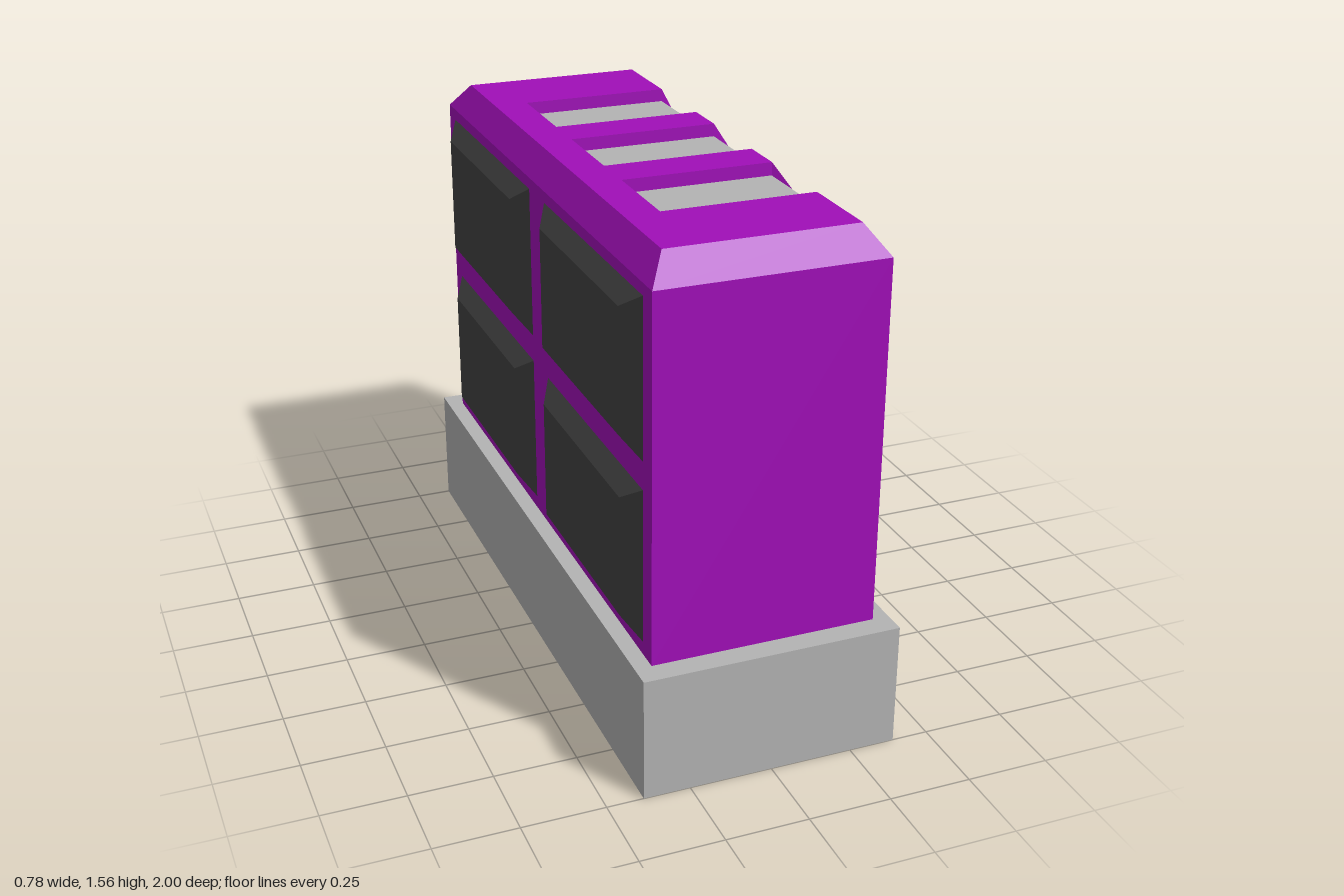
import * as THREE from 'three';

const paint = (name, color) => new THREE.MeshStandardMaterial({ name, color, side: THREE.DoubleSide });

// Body measures: half width, half length, shoulder and roof heights, roof half width, roof taper in z
const W = 0.34, L = 0.93, Y0 = 0.38, Y1 = 1.48, Y2 = 1.56, R = 0.285, TAPER = 0.919;
const SINK = 0.04, SLOT_X = -0.18, SLOT_Y = 0.975;
const SLOTS = [[-0.63, -0.31], [-0.155, 0.155], [0.31, 0.63]];

export function createModel() {
  const purple = paint('purple', 0xa00fb8);
  const grey = paint('grey', 0xb3b3b3);
  const dark = paint('charcoal', 0x424242);
  const model = new THREE.Group();

  function add(name, geometry, material) {
    const mesh = new THREE.Mesh(geometry, material);
    mesh.name = name;
    model.add(mesh);
    return mesh;
  }

  // Flat-shaded surface from four-cornered faces, counter-clockwise from outside
  function quads(faces) {
    const p = [];
    for (const [a, b, c, d] of faces) p.push(...a, ...b, ...c, ...a, ...c, ...d);
    const g = new THREE.BufferGeometry();
    g.setAttribute('position', new THREE.Float32BufferAttribute(p, 3));
    g.computeVertexNormals();
    return g;
  }

  // Point of a profile; roof points (off the side walls) draw in along z
  const at = ([x, y], z) => [x, y, Math.abs(x) < W ? z * TAPER : z];

  // Surface swept along z over a profile running up the +x side and over the roof
  const band = (profile, z0, z1) => profile.slice(1).map((q, i) =>
    [at(profile[i], z1), at(profile[i], z0), at(q, z0), at(q, z1)]);

  function rectangle(x0, y0, x1, y1, Type = THREE.Path) {
    return new Type([[x0, y0], [x1, y0], [x1, y1], [x0, y1]].map(([x, y]) => new THREE.Vector2(x, y)));
  }

  // Hollow base with a lip inside its top edge
  function frame(name, innerX, innerZ, y, height) {
    const shape = rectangle(-0.39, -1, 0.39, 1, THREE.Shape);
    shape.holes.push(rectangle(-innerX, -innerZ, innerX, innerZ));
    const g = new THREE.ExtrudeGeometry(shape, { depth: height, bevelEnabled: false });
    g.rotateX(-Math.PI / 2);
    add(name, g, grey).position.y = y;
  }
  frame('baseWalls', 0.335, 0.935, 0, 0.33);
  frame('baseLip', 0.28, 0.88, 0.33, 0.05);

  // Pillars between the slots, with the matching roof strips
  const profile = [[W, Y0], [W, Y1], [R, Y2], [SLOT_X, Y2]];
  const edges = [-L, ...SLOTS.flat(), L];
  const shell = [];
  for (let i = 0; i < edges.length; i += 2) shell.push(...band(profile, edges[i], edges[i + 1]));
  // Wall under the middle slot
  shell.push(...band([[W, Y0], [W, SLOT_Y]], ...SLOTS[1]));
  // Roof and shoulder on the -x side
  shell.push(...band([[SLOT_X, Y2], [-R, Y2], [-W, Y1]], -L, L));
  // End walls and their shoulders
  for (const s of [1, -1]) {
    const z = s * L;
    shell.push([[-W * s, Y0, z], [W * s, Y0, z], [W * s, Y1, z], [-W * s, Y1, z]]);
    shell.push([at([-W * s, Y1], z), at([W * s, Y1], z), at([R * s, Y2], z), at([-R * s, Y2], z)]);
  }
  add('bodyShell', quads(shell), purple);

  // Slot rims and the sunken panels inside them
  const down = ([x, y]) => [x, y - SINK];
  const rim = profile.slice(1);
  const rims = [];
  for (const [z0, z1] of SLOTS) {
    for (let i = 0; i < 2; i++) {
      const a = rim[i], b = rim[i + 1];
      rims.push([at(a, z0), at(b, z0), at(down(b), z0), at(down(a), z0)]);
      rims.push([at(b, z1), at(a, z1), at(down(a), z1), at(down(b), z1)]);
    }
    const c = rim[2];
    rims.push([at(c, z0), at(c, z1), at(down(c), z1), at(down(c), z0)]);
    add('slotPanel', quads(band([[W, SLOT_Y], ...rim.map(down)], z0, z1)), grey);
  }
  add('slotRims', quads(rims), purple);

  // Dark lintels over the two doorways
  for (const i of [0, 2]) {
    add('doorLintel', quads(band([[W, SLOT_Y - SINK], [W, SLOT_Y]], ...SLOTS[i])), dark);
  }

  // Wall on the -x side with four openings, each closed by a bevelled hollow panel
  const wall = rectangle(-L, Y0, L, Y1, THREE.Shape);
  for (const y0 of [0.42, 0.975]) {
    for (const z0 of [-0.865, 0.07]) {
      const y1 = y0 + 0.47, z1 = z0 + 0.795;
      wall.holes.push(rectangle(z0, y0, z1, y1));
      const ring = (x, dz, dy) => [
        [x, y0 + dy, z0 + dz], [x, y0 + dy, z1 - dz], [x, y1 - dy, z1 - dz], [x, y1 - dy, z0 + dz]];
      const outer = ring(-W, 0, 0), inner = ring(-0.38, 0.075, 0.05);
      const faces = [inner];
      for (let i = 0; i < 4; i++) {
        const j = (i + 1) % 4;
        faces.push([outer[i], outer[j], inner[j], inner[i]]);
      }
      add('sidePanel', quads(faces), dark);
    }
  }
  const sideWall = add('panelWall', new THREE.ShapeGeometry(wall), purple);
  sideWall.rotation.y = -Math.PI / 2;
  sideWall.position.x = -W;

  return model;
}
